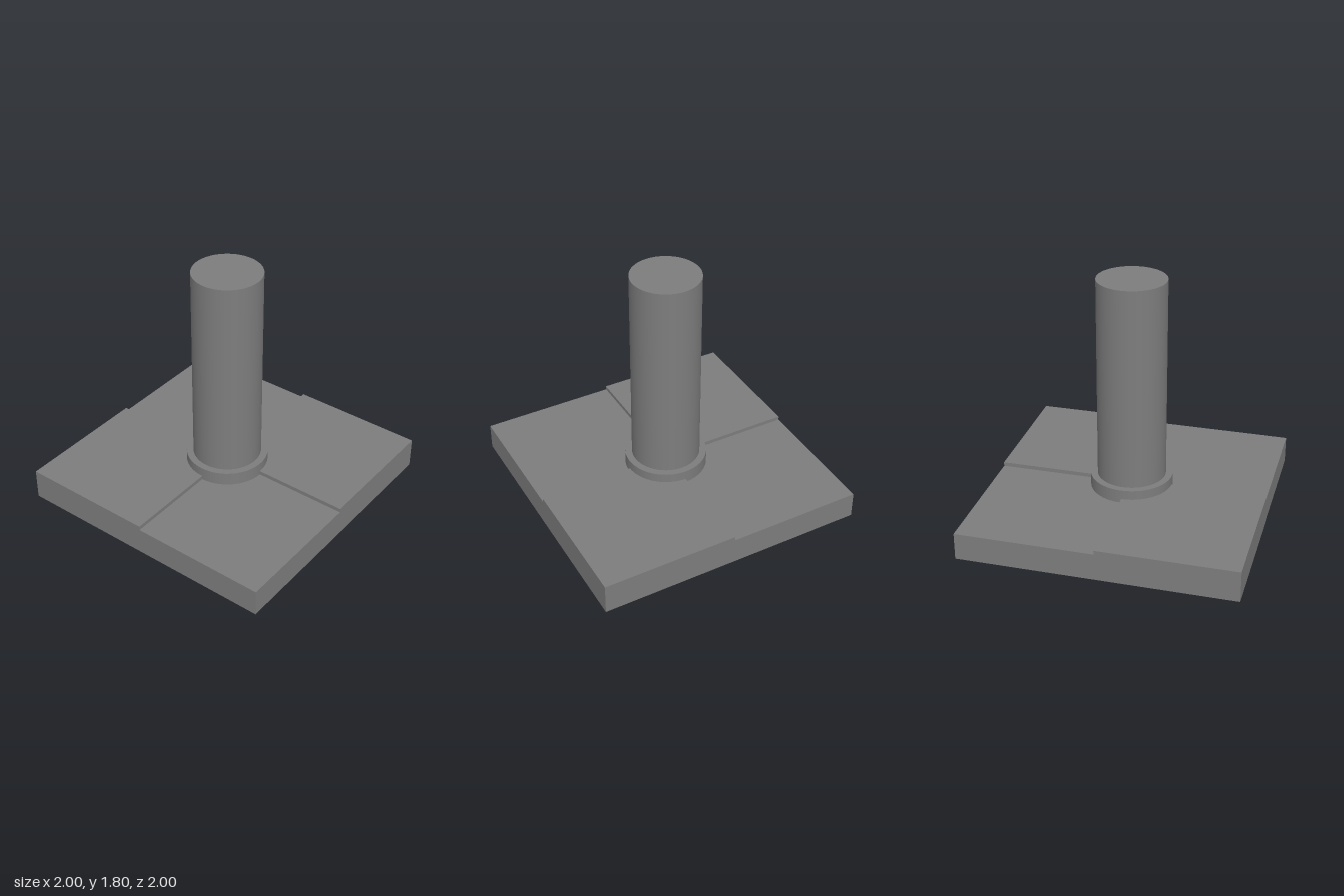
import * as THREE from 'three';

export function createModel() {
  const model = new THREE.Group();
  const material = new THREE.MeshStandardMaterial({ color: 0x7d7d7d });

  function add(name, geometry, y = 0) {
    const mesh = new THREE.Mesh(geometry, material);
    mesh.name = name;
    mesh.position.y = y;
    model.add(mesh);
    return mesh;
  }

  // Square base with alternating raised and sunken quadrants:
  // a stepped half slab, repeated by a half turn
  const step = new THREE.Shape([
    [-1, 0], [1, 0], [1, 0.2], [0, 0.2], [0, 0.23], [-1, 0.23],
  ].map(([x, y]) => new THREE.Vector2(x, y)));
  const half = new THREE.ExtrudeGeometry(step, { depth: 1, bevelEnabled: false });
  add('baseFront', half);
  add('baseBack', half).rotation.y = Math.PI;

  // Collar seated on the sunken level, and the column above it
  add('collar', new THREE.CylinderGeometry(0.3, 0.3, 0.1, 64), 0.25);
  add('column', new THREE.CylinderGeometry(0.25, 0.25, 1.5, 64), 1.05);

  return model;
}
